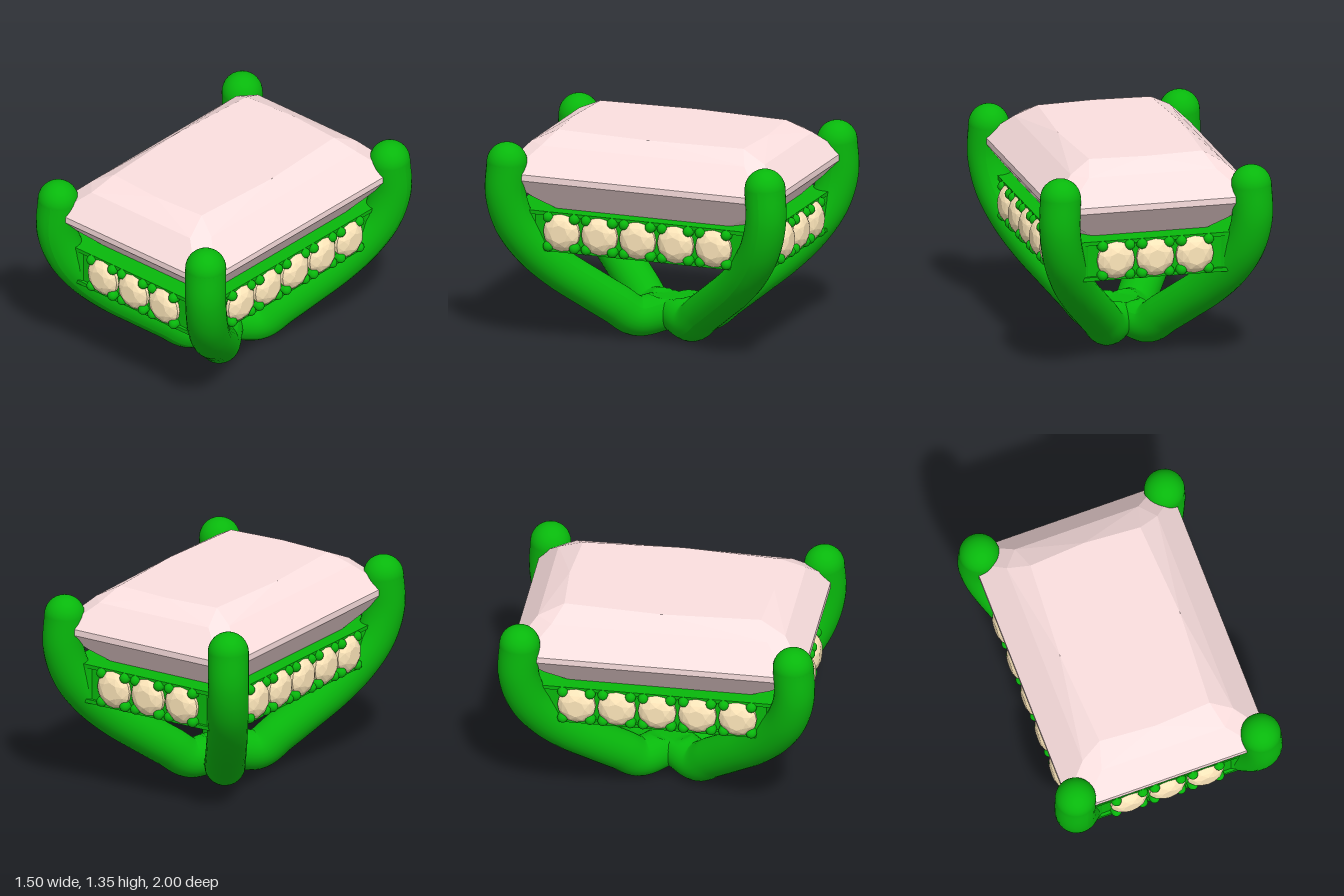
import * as THREE from 'three';
import { ConvexGeometry } from 'three/addons/geometries/ConvexGeometry.js';

const V = (x, y, z) => new THREE.Vector3(x, y, z);
const green = new THREE.MeshStandardMaterial({ color: 0x08b80c });
const pink = new THREE.MeshStandardMaterial({ color: 0xfbdfdf, flatShading: true });
const cream = new THREE.MeshStandardMaterial({ color: 0xfde6ba, flatShading: true });

function add(parent, name, geometry, material, x = 0, y = 0, z = 0) {
  const mesh = new THREE.Mesh(geometry, material);
  mesh.name = name;
  mesh.position.set(x, y, z);
  parent.add(mesh);
  return mesh;
}

// Large step-cut gem: mirrored corner points at each level
function centreGemGeometry() {
  const pts = [V(0, 0.49, 0)];
  const ring = (y, ...corners) => {
    for (const [x, z] of corners)
      for (const sx of [-1, 1]) for (const sz of [-1, 1]) pts.push(V(sx * x, y, sz * z));
  };
  ring(1.355, [0.365, 0.62]);
  pts.push(V(0, 1.355, 0.645), V(0, 1.355, -0.645), V(0.4, 1.355, 0), V(-0.4, 1.355, 0));
  ring(1.28, [0.41, 0.78], [0.5, 0.68]);
  ring(1.125, [0.58, 0.92], [0.66, 0.83]);
  ring(1.085, [0.58, 0.92], [0.66, 0.83]);
  ring(0.96, [0.48, 0.795], [0.56, 0.71]);
  ring(0.88, [0.36, 0.715], [0.495, 0.57]);
  ring(0.63, [0.14, 0.3], [0.19, 0.23]);
  return new ConvexGeometry(pts);
}

// Small round brilliant, facing +z
function smallStoneGeometry() {
  const pts = [V(0, 0, -0.1)];
  const ring = (n, r, z, turn) => {
    for (let i = 0; i < n; i++) {
      const a = ((i + turn) / n) * Math.PI * 2;
      pts.push(V(r * Math.cos(a), r * Math.sin(a), z));
    }
  };
  ring(16, 0.12, -0.01, 0);
  ring(16, 0.12, 0.01, 0);
  ring(8, 0.092, 0.04, 0.5);
  ring(8, 0.058, 0.055, 0);
  return new ConvexGeometry(pts);
}

// Rectangular ring with cut outer corners and an open middle
function frameGeometry(hx, hz, y0, y1) {
  const outline = (P, a, b, c) => new P([
    [c - a, -b], [a - c, -b], [a, c - b], [a, b - c], [a - c, b], [c - a, b], [-a, b - c], [-a, c - b],
  ].map(([x, z]) => new THREE.Vector2(x, z)));
  const shape = outline(THREE.Shape, hx, hz, 0.07);
  shape.holes.push(outline(THREE.Path, 0.37, 0.58, 0.02));
  const g = new THREE.ExtrudeGeometry(shape, { depth: y1 - y0, bevelEnabled: false });
  return g.rotateX(-Math.PI / 2).translate(0, y0, 0);
}

// Arch tube along one diagonal, flattened on top where the arches cross
function archGeometry(side, profile, r) {
  const path = new THREE.CatmullRomCurve3(profile.map(([t, y]) => V(side * 0.62 * t, y, 0.87 * t)));
  const g = new THREE.TubeGeometry(path, 140, r, 28);
  const p = g.attributes.position;
  for (let i = 0; i < p.count; i++) {
    const d = Math.hypot(p.getX(i), p.getZ(i));
    if (d < 0.3) p.setY(i, Math.min(p.getY(i), 0.252 + Math.max(0, d - 0.11) * 0.75));
  }
  g.computeVertexNormals();
  return g;
}

export function createModel() {
  const model = new THREE.Group();
  model.name = 'gemSetting';

  add(model, 'centreGem', centreGemGeometry(), pink);

  // Two crossing arches whose ends form the four claws
  const half = [[0.21, 0.136], [0.34, 0.225], [0.5, 0.34], [0.68, 0.475], [0.83, 0.62], [0.945, 0.79], [1, 0.98], [0.992, 1.184]];
  const profile = [...half.map(([t, y]) => [-t, y]).reverse(), [0, 0.168], ...half];
  const r = 0.128;
  const [tipT, tipY] = half[half.length - 1];
  for (const side of [-1, 1]) {
    add(model, 'clawArch', archGeometry(side, profile, r), green);
    for (const end of [-tipT, tipT])
      add(model, 'clawTip', new THREE.SphereGeometry(r, 28, 18), green, side * end * 0.62, tipY, end * 0.87);
  }

  // Gallery rail under the gem, with a lip above and below the stones and posts joining it to the claws
  add(model, 'galleryRail', frameGeometry(0.575, 0.835, 0.64, 0.875), green);
  add(model, 'lowerLip', frameGeometry(0.595, 0.855, 0.63, 0.655), green);
  add(model, 'upperLip', frameGeometry(0.595, 0.855, 0.86, 0.885), green);
  for (const sx of [-1, 1]) for (const sz of [-1, 1])
    add(model, 'cornerPost', new THREE.CylinderGeometry(0.105, 0.105, 0.25, 28), green, sx * 0.49, 0.757, sz * 0.75);

  // Rows of stones, each held by four beads
  const stone = smallStoneGeometry();
  const bead = new THREE.CapsuleGeometry(0.034, 0.05, 5, 12).rotateX(Math.PI / 2);
  const rows = [[3, 0.835, 0], [5, 0.575, 1], [3, 0.835, 2], [5, 0.575, 3]];
  for (const [count, distance, quarter] of rows) {
    const row = new THREE.Group();
    row.name = 'stoneRow';
    row.rotation.y = quarter * Math.PI / 2;
    for (let i = 0; i < count; i++) {
      const x = (i - (count - 1) / 2) * 0.254;
      add(row, 'smallStone', stone, cream, x, 0.757, distance + 0.01);
      for (const sx of [-1, 1]) for (const sy of [-1, 1])
        add(row, 'bead', bead, green, x + sx * 0.087, 0.757 + sy * 0.094, distance - 0.005);
    }
    model.add(row);
  }
  return model;
}
